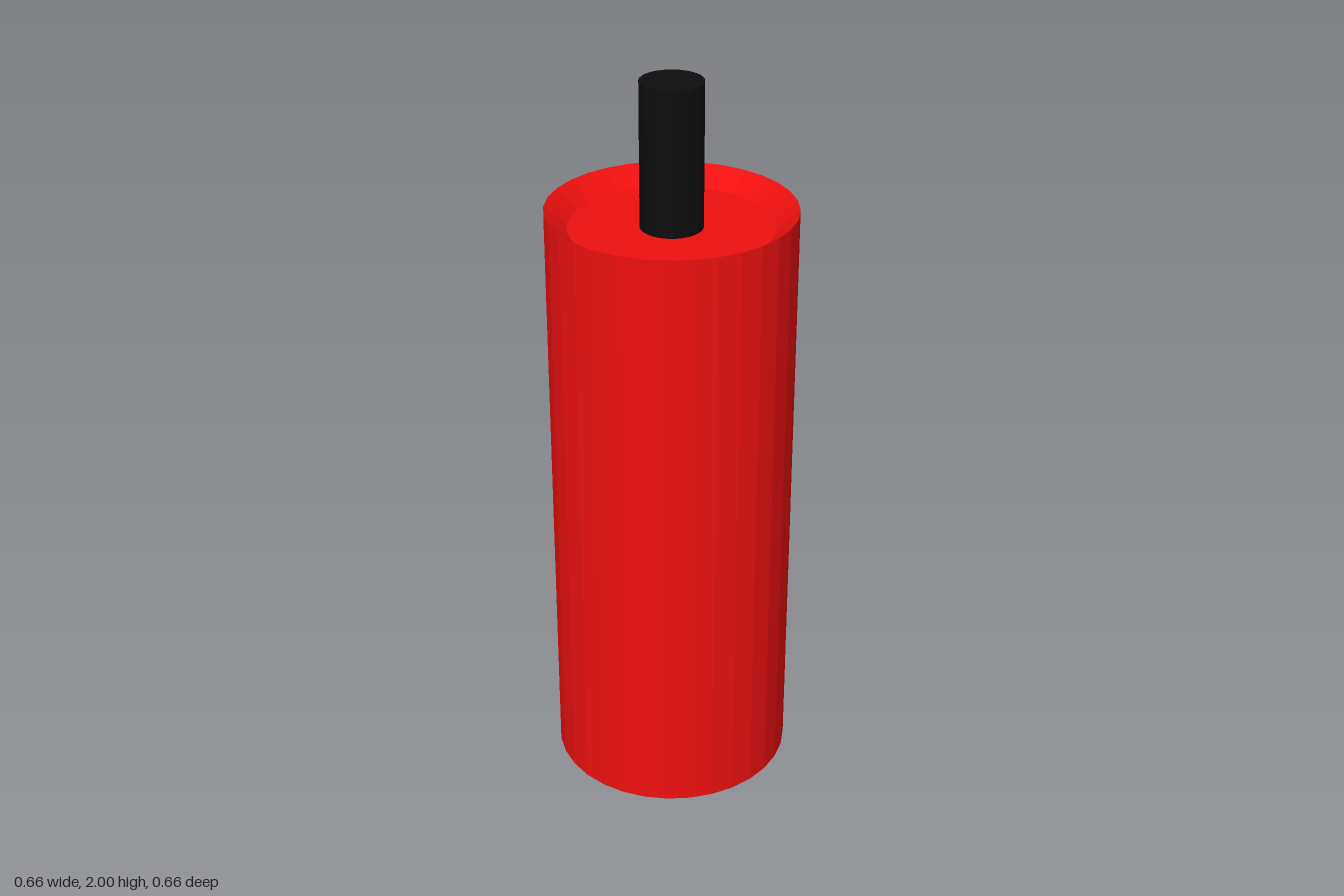
import * as THREE from 'three';

const SIDES = 32;

export function createModel() {
  const group = new THREE.Group();
  const red = new THREE.MeshStandardMaterial({ color: 0xf01010, flatShading: true });
  const black = new THREE.MeshStandardMaterial({ color: 0x0e0e0e });

  const radius = 0.33, innerRadius = 0.27, height = 1.66, recess = 0.05;

  // Body: faceted cylinder with a sloped recess at both ends
  const profile = [
    [0, recess],
    [innerRadius, recess],
    [radius, 0],
    [radius, height],
    [innerRadius, height - recess],
    [0, height - recess],
  ].map(([x, y]) => new THREE.Vector2(x, y));
  const body = new THREE.Mesh(new THREE.LatheGeometry(profile, SIDES), red);
  body.name = 'body';
  group.add(body);

  // Fuse: thin rod rising from the floor of the top recess
  const fuseBottom = height - recess, fuseTop = 2;
  const fuse = new THREE.Mesh(
    new THREE.CylinderGeometry(0.083, 0.083, fuseTop - fuseBottom, SIDES), black);
  fuse.position.y = (fuseTop + fuseBottom) / 2;
  fuse.name = 'fuse';
  group.add(fuse);

  return group;
}
